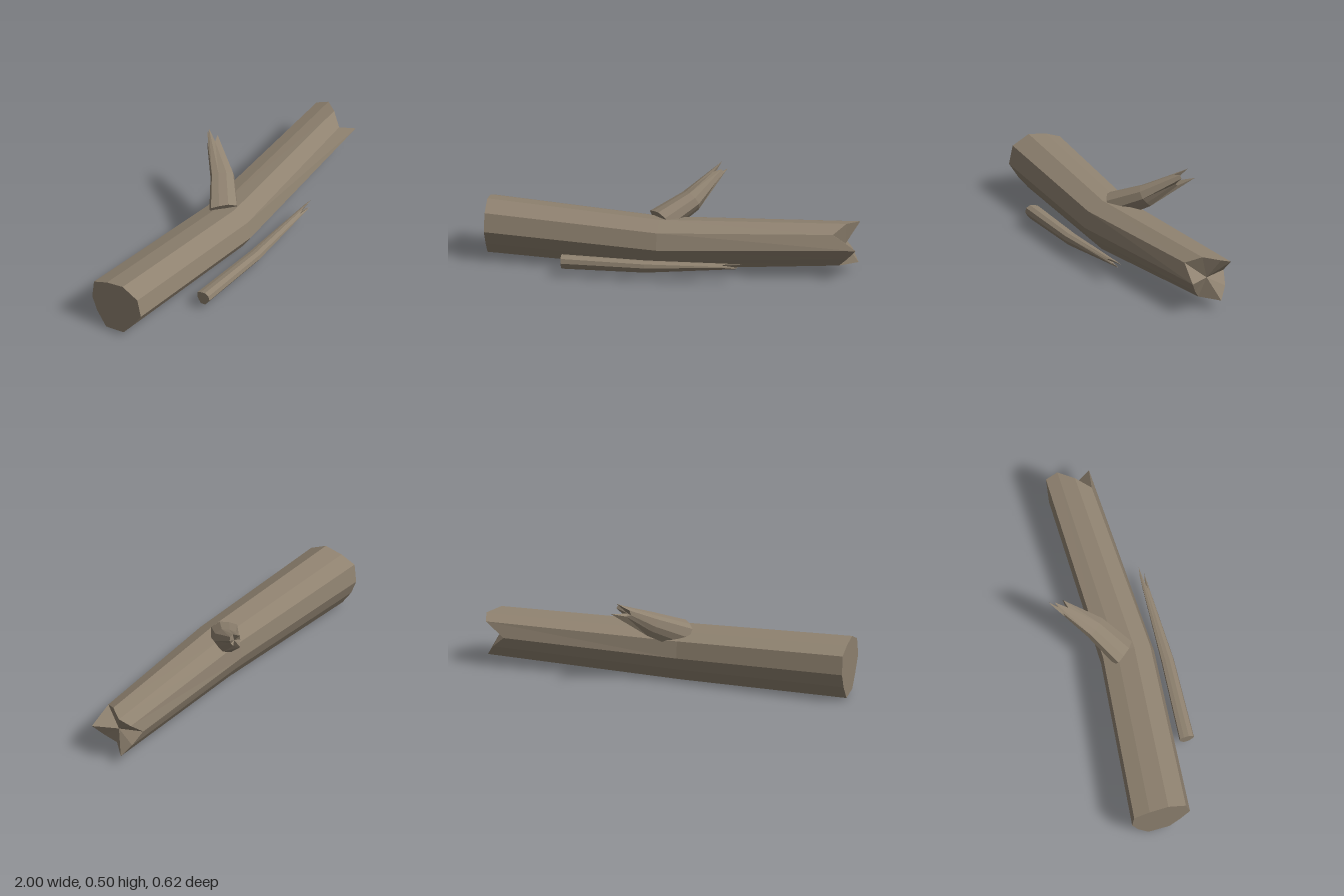
import * as THREE from 'three';

// Ten-sided bark outline, as (sideways, up) on a unit radius
const OUTLINE = [
  [0.24, 0.98], [0.84, 0.68], [0.98, 0.06], [0.64, -0.46], [0.27, -0.9],
  [-0.44, -0.97], [-0.8, -0.46], [-1, 0.04], [-0.93, 0.68], [-0.4, 0.88],
];

const bark = new THREE.MeshStandardMaterial({
  color: 0x8f8270, flatShading: true, side: THREE.DoubleSide,
});

// Loft the outline along sections [x, y, z, radius]; the last ring is splintered
// by pushing each of its points along the limb by splinters[i].
function makeLimb(name, sections, splinters, hollow) {
  const centres = sections.map(([x, y, z]) => new THREE.Vector3(x, y, z));
  const last = sections.length - 1;
  const along = centres[last].clone().sub(centres[0]).normalize();
  const side = along.clone().cross(new THREE.Vector3(0, 1, 0)).normalize();
  const up = side.clone().cross(along);

  const rings = sections.map((s, k) => OUTLINE.map(([a, b], i) =>
    centres[k].clone()
      .addScaledVector(side, a * s[3])
      .addScaledVector(up, b * s[3])
      .addScaledVector(along, k === last ? splinters[i] : 0)));
  const tipCentre = centres[last].clone().addScaledVector(along, -hollow);

  const points = [];
  const n = OUTLINE.length;
  for (let i = 0; i < n; i++) {
    const j = (i + 1) % n;
    for (let k = 0; k < last; k++) {
      const [a, b, c, d] = [rings[k][i], rings[k][j], rings[k + 1][j], rings[k + 1][i]];
      points.push(a, b, c, a, c, d);
    }
    // sawn start and broken end
    points.push(centres[0], rings[0][j], rings[0][i]);
    points.push(tipCentre, rings[last][i], rings[last][j]);
  }
  const geometry = new THREE.BufferGeometry().setFromPoints(points);
  geometry.computeVertexNormals();
  const mesh = new THREE.Mesh(geometry, bark);
  mesh.name = name;
  return mesh;
}

export function createModel() {
  const group = new THREE.Group();
  group.name = 'fallenLog';

  // Thick, slightly bent trunk
  group.add(makeLimb('trunk',
    [[-0.993, 0.173, 0.037, 0.16], [-0.06, 0.145, 0.055, 0.146], [0.94, 0.18, -0.05, 0.126]],
    [-0.01, -0.07, 0.055, 0, -0.05, 0.04, 0, -0.065, 0.035, 0.05], 0.02));

  // Broken side branch rising towards the back
  group.add(makeLimb('branch',
    [[-0.06, 0.25, 0.02, 0.078], [0.08, 0.335, -0.1, 0.064], [0.19, 0.45, -0.255, 0.033]],
    [-0.03, 0.01, 0.01, -0.04, -0.04, 0.06, -0.03, -0.05, -0.03, 0.05], 0.05));

  // Thin loose stick lying in front
  group.add(makeLimb('looseStick',
    [[-0.549, 0.08, 0.27, 0.04], [-0.1, 0.084, 0.262, 0.034], [0.37, 0.108, 0.228, 0.015]],
    [-0.03, -0.06, 0.03, -0.03, -0.06, 0.03, -0.03, -0.05, 0.01, 0.065], 0.05));

  return group;
}
